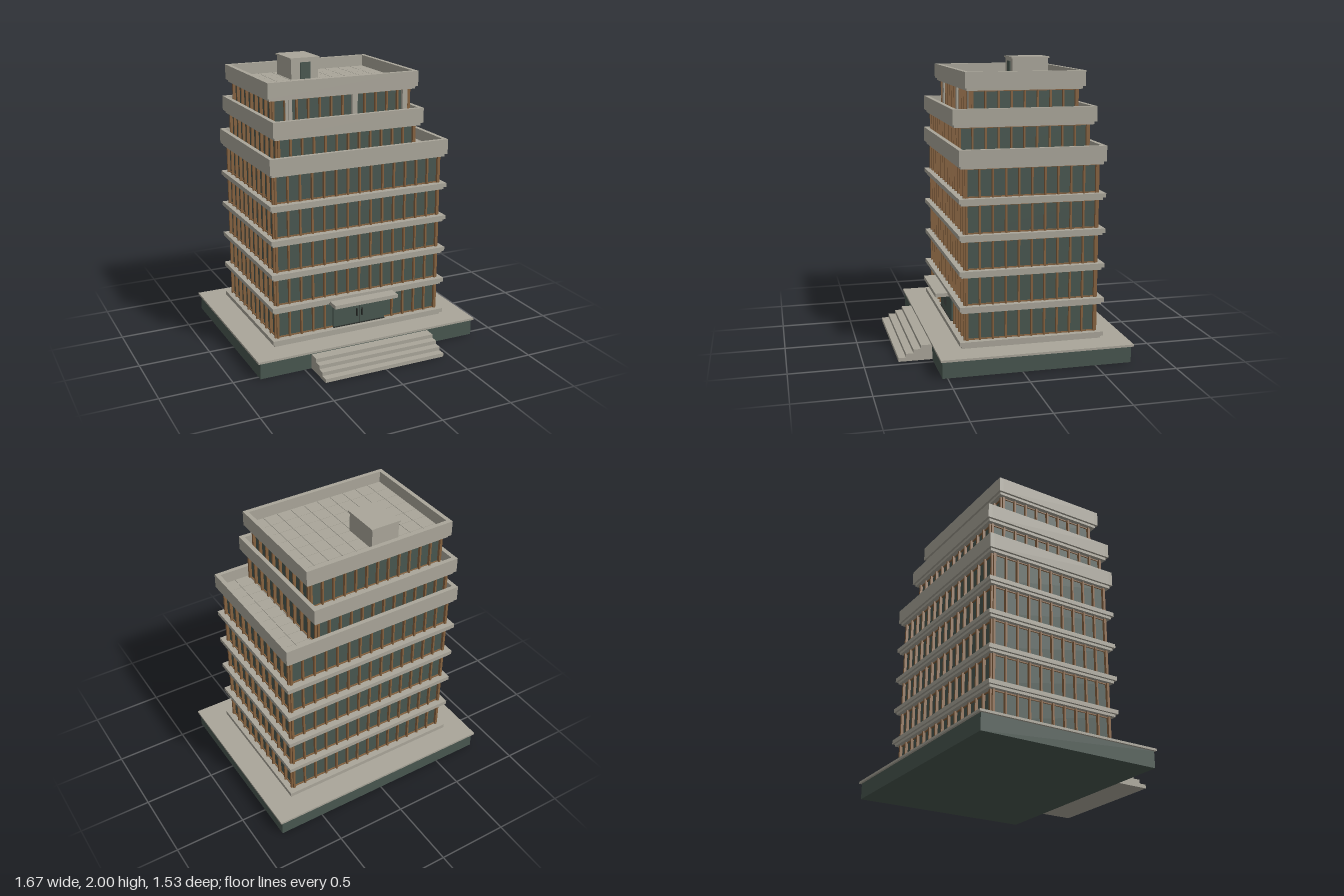
import * as THREE from 'three';

const mat = (name, color) => {
  const m = new THREE.MeshStandardMaterial({ color });
  m.name = name;
  return m;
};

export function createModel() {
  const stone = mat('stone', 0xaaa69a);
  const glass = mat('darkGlass', 0x48564f);
  const bronze = mat('bronze', 0x86623f);
  const dark = mat('darkMetal', 0x2c302d);

  const model = new THREE.Group();
  model.name = 'officeBuilding';

  // Box given by its limits on each axis
  function box(parent, name, material, x0, x1, y0, y1, z0, z1) {
    const mesh = new THREE.Mesh(new THREE.BoxGeometry(x1 - x0, y1 - y0, z1 - z0), material);
    mesh.position.set((x0 + x1) / 2, (y0 + y1) / 2, (z0 + z1) / 2);
    mesh.name = name;
    parent.add(mesh);
    return mesh;
  }
  function group(name) {
    const g = new THREE.Group();
    g.name = name;
    model.add(g);
    return g;
  }

  // Glazed storey: recessed glass, rails and mullions; f = [x0, x1, z0, z1] outer frame
  function storey(name, f, y0, y1, baysX, baysZ, doorHalf = 0) {
    const g = group(name);
    const [x0, x1, z0, z1] = f;
    const d = 0.02, w = 0.006;
    box(g, 'glazing', glass, x0 + d, x1 - d, y0, y1, z0 + d, z1 - d);
    for (const [a, b] of [[y0, y0 + 0.008], [y1 - 0.008, y1]]) {
      box(g, 'rail', bronze, x0 + 0.012, x1 - 0.012, a, b, z0 + 0.012, z1 - 0.012);
    }
    for (let i = 1; i < baysX; i++) {
      const x = x0 + d + (x1 - x0 - 2 * d) * i / baysX;
      box(g, 'mullion', bronze, x - w, x + w, y0, y1, z0, z0 + d + 0.002);
      if (Math.abs(x) >= doorHalf) box(g, 'mullion', bronze, x - w, x + w, y0, y1, z1 - d - 0.002, z1);
    }
    for (let i = 1; i < baysZ; i++) {
      const z = z0 + d + (z1 - z0 - 2 * d) * i / baysZ;
      box(g, 'mullion', bronze, x0, x0 + d + 0.002, y0, y1, z - w, z + w);
      box(g, 'mullion', bronze, x1 - d - 0.002, x1, y0, y1, z - w, z + w);
    }
    // Stepped corner posts leave a small notch at the corner
    for (const [x, sx] of [[x0, 1], [x1, -1]]) for (const [z, sz] of [[z0, 1], [z1, -1]]) {
      const span = (p, s, a, b) => [Math.min(p + s * a, p + s * b), Math.max(p + s * a, p + s * b)];
      box(g, 'cornerPost', bronze, ...span(x, sx, 0, 0.024), y0, y1, ...span(z, sz, 0.012, 0.028));
      box(g, 'cornerPost', bronze, ...span(x, sx, 0.012, 0.028), y0, y1, ...span(z, sz, 0, 0.024));
    }
    return g;
  }

  // Projecting floor slab with a narrower lip beneath
  function slab(y0, y1, y2, o) {
    const g = group('floorSlab');
    const [x0, x1, z0, z1] = o, e = 0.015;
    box(g, 'lip', stone, x0 + e, x1 - e, y0, y1, z0 + e, z1 - e);
    box(g, 'slab', stone, x0, x1, y1, y2, z0, z1);
  }

  // Terrace: lip, deck, paving tiles and a parapet around the edge
  function terrace(name, y0, y1, y2, o, nx, nz) {
    const g = group(name);
    const [x0, x1, z0, z1] = o, e = 0.015, t = 0.03, deck = y1 + 0.022;
    box(g, 'lip', stone, x0 + e, x1 - e, y0, y1, z0 + e, z1 - e);
    box(g, 'deck', stone, x0 + t, x1 - t, y1, deck, z0 + t, z1 - t);
    box(g, 'backParapet', stone, x0, x1, y1, y2, z0, z0 + t);
    box(g, 'frontParapet', stone, x0, x1, y1, y2, z1 - t, z1);
    box(g, 'rightParapet', stone, x0, x0 + t, y1, y2, z0 + t, z1 - t);
    box(g, 'leftParapet', stone, x1 - t, x1, y1, y2, z0 + t, z1 - t);
    const tw = (x1 - x0 - 2 * t) / nx, td = (z1 - z0 - 2 * t) / nz, gap = 0.0015;
    for (let i = 0; i < nx; i++) for (let j = 0; j < nz; j++) {
      const x = x0 + t + i * tw, z = z0 + t + j * td;
      box(g, 'paver', stone, x + gap, x + tw - gap, deck, deck + 0.004, z + gap, z + td - gap);
    }
  }

  // Podium with overhanging top
  const podium = group('podium');
  box(podium, 'podiumBase', glass, -0.82, 0.82, 0, 0.113, -0.75, 0.535);
  box(podium, 'podiumTop', stone, -0.835, 0.835, 0.113, 0.128, -0.765, 0.545);

  // Front steps
  const steps = group('frontSteps');
  for (let i = 0; i < 4; i++) {
    box(steps, 'step', stone, -0.45, 0.45, i * 0.026, (i + 1) * 0.026, 0.535, 0.765 - i * 0.051);
  }

  // Five identical main storeys
  const main = [-0.635, 0.635, -0.572, 0.352];
  const edge = [-0.665, 0.665, -0.607, 0.386];
  for (let i = 0; i < 5; i++) {
    const y = 0.128 + i * 0.2395;
    slab(y, y + 0.018, y + 0.047, edge);
    storey('mainStorey', main, y + 0.047, y + 0.2395, 14, 10, i === 0 ? 0.2 : 0);
  }
  terrace('lowerTerrace', 1.325, 1.345, 1.45, edge, 12, 9);

  // Two set-back upper storeys
  const upperEdge = [-0.637, 0.463, -0.607, 0.386];
  storey('sixthStorey', [-0.605, 0.43, -0.572, 0.352], 1.367, 1.567, 12, 10);
  terrace('upperTerrace', 1.567, 1.587, 1.69, upperEdge, 10, 9);
  const top = storey('topStorey', [-0.605, 0.43, -0.488, 0.265], 1.609, 1.807, 12, 8);
  for (const [a, b] of [[-0.503, -0.481], [-0.477, -0.455], [-0.02, 0.02], [0.363, 0.4]]) {
    box(top, 'column', stone, a, b, 1.609, 1.807, 0.23, 0.268);
  }
  terrace('roof', 1.807, 1.825, 1.93, [-0.637, 0.463, -0.522, 0.302], 10, 7);

  // Rooftop stair house
  const hut = group('stairHouse');
  box(hut, 'hutWalls', stone, -0.282, -0.078, 1.84, 1.988, -0.42, -0.158);
  box(hut, 'hutCap', stone, -0.29, -0.07, 1.988, 2, -0.428, -0.15);
  box(hut, 'hutDoor', glass, -0.215, -0.14, 1.85, 1.967, -0.16, -0.153);

  // Entrance with canopy and door pulls
  const entry = group('entrance');
  box(entry, 'entranceGlass', glass, -0.2, 0.2, 0.18, 0.365, 0.33, 0.352);
  box(entry, 'threshold', dark, -0.2, 0.2, 0.175, 0.182, 0.33, 0.358);
  box(entry, 'doorGap', dark, -0.001, 0.001, 0.182, 0.365, 0.35, 0.353);
  box(entry, 'canopy', stone, -0.242, 0.242, 0.368, 0.394, 0.34, 0.472);
  for (const s of [-1, 1]) {
    box(entry, 'doorPull', dark, s * 0.02 - 0.004, s * 0.02 + 0.004, 0.235, 0.29, 0.35, 0.364);
  }

  return model;
}
